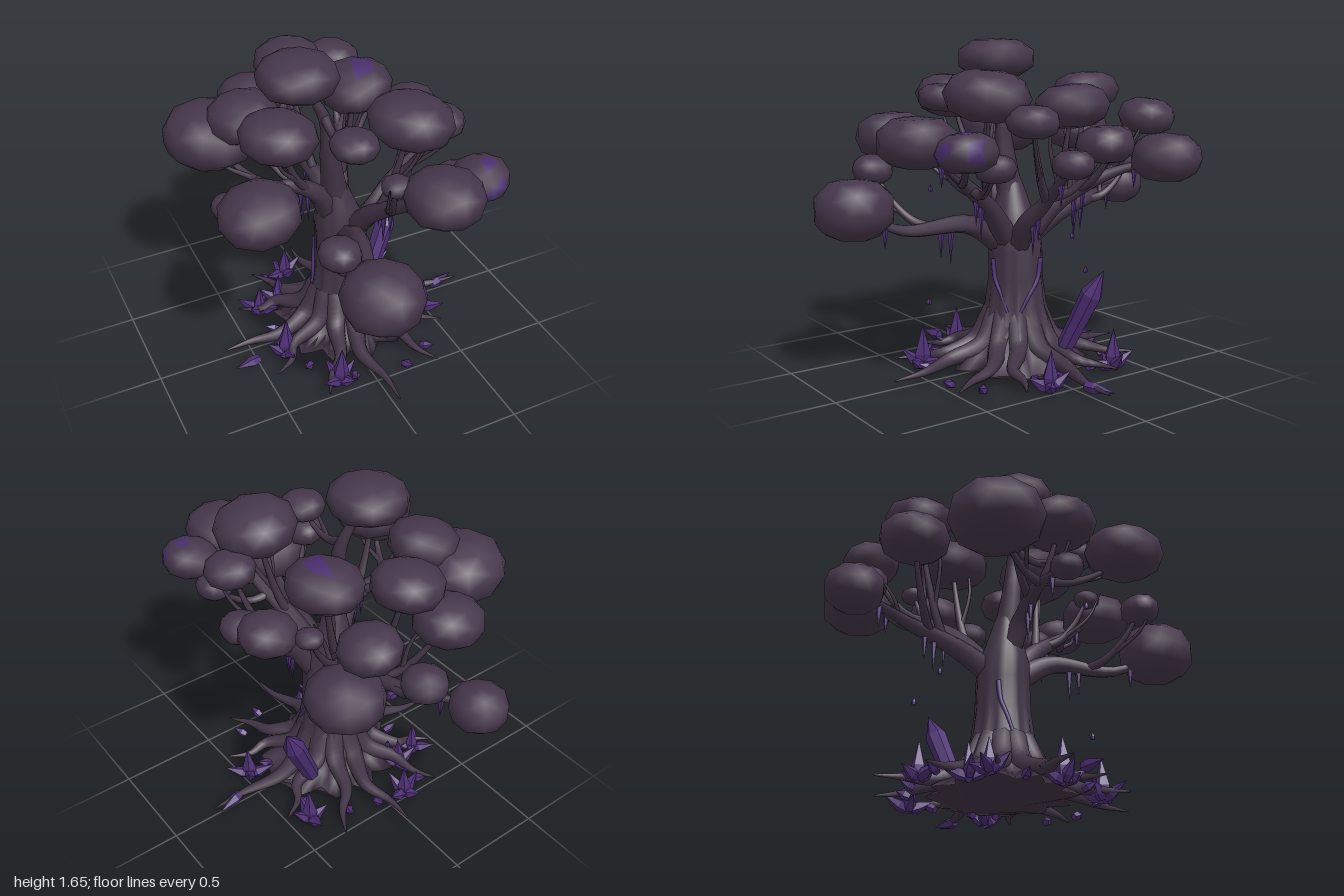
import * as THREE from 'three';

const V = (a) => new THREE.Vector3(...a);
const makeMat = (name, options) => Object.assign(new THREE.MeshStandardMaterial(options), { name });
const canopyMat = makeMat('canopy', { color: 0x46374b });
const barkMat = makeMat('bark', { color: 0x423446, side: THREE.DoubleSide });
const crystalMat = makeMat('crystal', { color: 0x4e3075, flatShading: true });
const patchMat = makeMat('purplePatch', { color: 0x4a2f6e });

// Tube along a smooth path whose radius runs from r0 to r1
function taperedTube(name, pts, r0, r1, mat = barkMat, sides = 7) {
  const curve = new THREE.CatmullRomCurve3(pts);
  const seg = pts.length * 4;
  const geo = new THREE.TubeGeometry(curve, seg, 1, sides);
  const pos = geo.attributes.position, v = new THREE.Vector3();
  for (let k = 0; k < pos.count; k++) {
    const t = Math.floor(k / (sides + 1)) / seg, c = curve.getPointAt(t);
    v.fromBufferAttribute(pos, k).sub(c).multiplyScalar(r0 + (r1 - r0) * t).add(c);
    pos.setXYZ(k, v.x, v.y, v.z);
  }
  const mesh = new THREE.Mesh(geo, mat);
  mesh.name = name;
  return mesh;
}

// Shard from a base point to a tip; belly is where it is widest
function shard(name, from, to, width, belly, sides = 5) {
  const d = to.clone().sub(from), h = d.length();
  const profile = [new THREE.Vector2(0, 0), new THREE.Vector2(width * 0.8, 0.01 * h),
    new THREE.Vector2(width, belly * h), new THREE.Vector2(0, h)];
  const mesh = new THREE.Mesh(new THREE.LatheGeometry(profile, sides), crystalMat);
  mesh.position.copy(from);
  mesh.quaternion.setFromUnitVectors(new THREE.Vector3(0, 1, 0), d.normalize());
  mesh.name = name;
  return mesh;
}

// Blocky leaf mass, flatter the higher it sits; faces near the patch directions are purple
function leafMass(center, r, turn, patches = []) {
  const geo = new THREE.IcosahedronGeometry(1, 1).rotateY(turn);
  const p = geo.attributes.position, c = new THREE.Vector3();
  for (let f = 0; f < p.count; f += 3) {
    c.set(0, 0, 0);
    for (let k = 0; k < 3; k++) c.add(new THREE.Vector3().fromBufferAttribute(p, f + k));
    c.normalize();
    geo.addGroup(f, 3, patches.some((d) => c.dot(V(d).normalize()) > 0.92) ? 1 : 0);
  }
  // Push the shoulders out so top and bottom are flat
  for (let k = 0; k < p.count; k++) {
    const y = p.getY(k);
    p.setY(k, Math.sign(y) * Math.min(0.97, Math.pow(Math.abs(y), 0.8) * 1.03));
  }
  const h = r * (1.08 - 0.36 * center.y);
  geo.scale(r * 1.02, h, r * 1.02).rotateZ(Math.sin(turn * 5) * 0.14);
  const mesh = new THREE.Mesh(geo, [canopyMat, patchMat]);
  mesh.position.copy(center);
  mesh.name = 'leafMass';
  return mesh;
}

// Fluted trunk that flares into the ground, built from rings
function trunk() {
  const rings = [[0.025, 0.33], [0.08, 0.255], [0.14, 0.21], [0.22, 0.175], [0.32, 0.15],
    [0.45, 0.136], [0.6, 0.133], [0.7, 0.128], [0.8, 0.095], [0.92, 0.06], [1.0, 0.03]];
  const n = 48, pos = [], idx = [];
  for (const [y, r] of rings) {
    const cx = 0.03 - Math.max(0, y - 0.6) * 0.12, flute = Math.max(0, r - 0.12) * 0.2;
    for (let j = 0; j < n; j++) {
      const a = (j / n) * Math.PI * 2, q = r + flute * Math.cos(12 * a);
      pos.push(cx + Math.cos(a) * q, y, Math.sin(a) * q);
    }
  }
  for (let a = 0; a < n * (rings.length - 1); a++) {
    const b = a % n === n - 1 ? a - n + 1 : a + 1;
    idx.push(a, a + n, b, b, a + n, b + n);
  }
  // Closed underside
  for (let j = 1; j < n - 1; j++) idx.push(0, j, j + 1);
  const geo = new THREE.BufferGeometry();
  geo.setAttribute('position', new THREE.Float32BufferAttribute(pos, 3));
  geo.setIndex(idx);
  geo.computeVertexNormals();
  const mesh = new THREE.Mesh(geo, barkMat);
  mesh.name = 'trunk';
  return mesh;
}

// Limb ending in a leaf mass, with side branches to more leaf masses [x, y, z, radius]
function limb(name, path, tipRadius, leaves, patches) {
  const group = new THREE.Group();
  group.name = name + 'Limb';
  const pts = path.map(V), tip = pts[pts.length - 1];
  const curve = new THREE.CatmullRomCurve3(pts);
  group.add(taperedTube('limb', pts, name === 'leader' ? 0.08 : 0.064, 0.01));
  group.add(leafMass(tip, tipRadius, 0));
  leaves.forEach(([x, y, z, r], i) => {
    const end = new THREE.Vector3(x, y, z), turn = i * 0.7 + x;
    group.add(leafMass(end, r, turn, i === 0 ? patches : []));
    // Branch bends outward first, then rises into the leaves
    const t = Math.min(0.7, 0.6 * Math.hypot(x, z) / Math.hypot(tip.x, tip.z));
    const start = curve.getPointAt(t), sag = new THREE.Vector3(0, -0.06, 0);
    const p1 = start.clone().lerp(end, 0.35).add(sag), p2 = start.clone().lerp(end, 0.7).add(sag);
    group.add(taperedTube('branch', [start, p1, p2, end], 0.026, 0.008));
    const side = new THREE.Vector3(i % 2 ? 0.06 : -0.06, 0.02, 0.05);
    group.add(taperedTube('twig', [p1, p2.add(side), end.clone().add(side)], 0.014, 0.004));
  });
  // Thorns hanging below the limb
  if (name !== 'leader') {
    [0.4, 0.46, 0.8].forEach((t, i) => {
      const p = curve.getPointAt(t);
      group.add(shard('hangingThorn', p, p.clone().setY(p.y - 0.2 + i * 0.04), 0.017, 0.15));
    });
  }
  return group;
}

export function createModel() {
  const tree = new THREE.Group();
  tree.name = 'tree';
  const polar = (r, y, a) => new THREE.Vector3(0.02 + Math.cos(a) * r, y, Math.sin(a) * r);
  tree.add(trunk());

  // Roots, one every thirty degrees, each with its own reach
  [0.74, 0.56, 0.62, 0.7, 0.6, 0.55, 0.66, 0.55, 0.6, 0.65, 0.62, 0.56].forEach((reach, i) => {
    const a = (i * Math.PI) / 6, b = a + (i % 2 ? 0.12 : -0.1);
    tree.add(taperedTube('root', [polar(0.1, 0.27, a), polar(0.2, 0.125, a), polar(0.36, 0.07, b),
      polar(reach * 0.78, 0.045, a), polar(reach, 0.035, a)], 0.07, 0.004));
  });

  // Limbs with their leaf masses
  tree.add(
    limb('leader', [[0.01, 0.75, 0], [-0.04, 1.1, 0.02], [-0.06, 1.3, 0.02], [-0.18, 1.54, -0.03]], 0.197,
      [[-0.08, 1.36, 0.36, 0.115]]),
    limb('right', [[0.07, 0.58, 0.02], [0.19, 0.75, 0.05], [0.3, 0.86, 0.02], [0.52, 1.07, 0.03]], 0.1,
      [[0.505, 1.15, -0.175, 0.14], [0.45, 1.27, 0.21, 0.125]]),
    limb('back', [[0.03, 0.64, -0.05], [0.04, 0.75, -0.25], [0, 0.81, -0.52], [-0.18, 0.83, -0.86]], 0.14,
      [[0.05, 1, -0.735, 0.11], [-0.21, 1.15, -0.59, 0.17], [-0.03, 1.37, -0.5, 0.172]]),
    limb('front', [[0.01, 0.62, 0.06], [0, 0.74, 0.26], [-0.09, 0.73, 0.58], [-0.16, 0.845, 0.8]], 0.192,
      [[-0.285, 1.01, 0.63, 0.1]]),
    limb('frontRight', [[0.05, 0.64, 0.06], [0.1, 0.82, 0.2], [0.18, 1, 0.43], [0.21, 1.185, 0.67]], 0.185,
      [[0.46, 1.155, 0.57, 0.14], [0.235, 1.38, 0.31, 0.205], [0.05, 1.2, 0.52, 0.07], [0.43, 1.07, 0.4, 0.095]],
      [[0.1, 0.1, 1], [1, 0.1, 0.3], [0.3, 1, 0.2]]),
    limb('left', [[-0.02, 0.72, 0], [-0.13, 0.92, 0.04], [-0.28, 1, 0.03], [-0.58, 0.97, 0.03]], 0.08,
      [[-0.53, 1.17, -0.31, 0.23], [-0.4, 1.3, -0.19, 0.175], [-0.35, 1.35, 0.13, 0.185], [-0.55, 1.14, 0.37, 0.19]]),
    limb('backRight', [[0.05, 0.66, -0.05], [0.12, 0.83, -0.2], [0.24, 0.96, -0.42], [0.43, 1.05, -0.645]], 0.18,
      [[0.21, 1.31, -0.21, 0.187], [0.29, 1.25, -0.635, 0.145], [0.4, 1.18, -0.35, 0.065]], [[0.2, 1, 0]]),
  );

  // Crystal clusters among the roots: x, z, height
  [[-0.35, 0.12, 0.22], [-0.18, 0.43, 0.21], [0.47, 0.12, 0.19], [0.4, -0.33, 0.2],
    [-0.1, -0.48, 0.18], [-0.35, -0.25, 0.16], [-0.22, -0.29, 0.17]].forEach(([x, z, h], i) => {
    const cluster = new THREE.Group();
    cluster.name = 'crystalCluster';
    cluster.position.set(x, 0.01, z);
    cluster.add(shard('crystal', new THREE.Vector3(), new THREE.Vector3(0.01, h, 0), h * 0.2, 0.3));
    for (let k = 0; k < 4; k++) {
      const a = i * 1.1 + k * 1.57, out = new THREE.Vector3(Math.cos(a), 0, Math.sin(a));
      const tip = out.clone().multiplyScalar(0.1 + 0.03 * (k % 2)).setY(h * 0.25 + 0.02 * (k % 3));
      cluster.add(shard('crystal', out.multiplyScalar(0.01), tip, 0.03, 0.3));
    }
    tree.add(cluster);
  });

  // Small crystals close to the ground
  for (let k = 0; k < 12; k++) {
    const a = k * 2.4, r = 0.34 + 0.05 * (k % 4);
    tree.add(shard('smallCrystal', polar(r, 0.012, a), polar(r + 0.07, 0.045, a), 0.024, 0.4));
  }
  // Crystals lying along two root tips
  tree.add(shard('rootCrystal', V([0.6, 0.035, 0.01]), V([0.755, 0.035, -0.04]), 0.03, 0.3));
  tree.add(shard('rootCrystal', V([-0.5, 0.035, 0.13]), V([-0.64, 0.035, 0.15]), 0.03, 0.3));

  // Great leaning crystal
  tree.add(shard('greatCrystal', V([0.25, 0.08, -0.13]), V([0.455, 0.53, -0.22]), 0.055, 0.72, 7));

  // Floating chips
  [[-0.46, 0.84, 0.2], [-0.04, 0.36, 0.47], [0.02, 0.4, -0.47], [0.1, 0.62, -0.31]].forEach((p) => {
    const c = V(p);
    tree.add(shard('floatingChip', c, c.clone().setY(c.y + 0.04), 0.013, 0.35));
  });

  // Purple veins creeping down the trunk: start angle and sweep
  [[1.5, -0.65], [-0.45, 0.9], [3.8, -0.5]].forEach(([a, sweep]) => {
    const r = 0.137 + 0.01 * Math.cos(a);
    tree.add(taperedTube('vein', [polar(r, 0.56, a), polar(r + 0.003, 0.46, a + sweep * 0.2),
      polar(r + 0.007, 0.39, a + sweep * 0.6), polar(r + 0.018, 0.3, a + sweep)], 0.013, 0.008, patchMat));
  });
  return tree;
}
